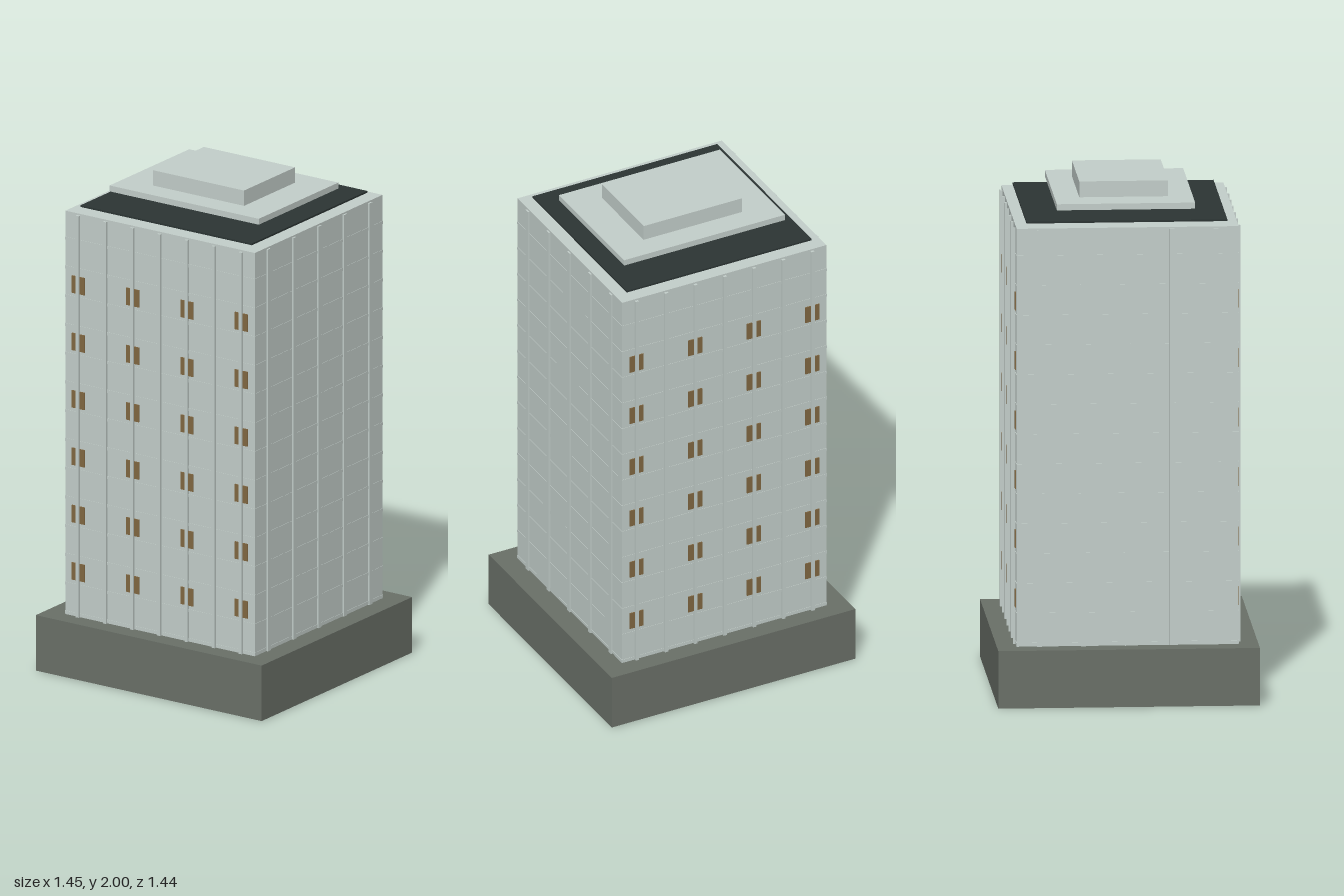
import * as THREE from 'three';

const mat = (name, color) => {
  const m = new THREE.MeshStandardMaterial({ color });
  m.name = name;
  return m;
};

export function createModel() {
  const stone = mat('paleStone', 0xc4cfcb);
  const plinthMat = mat('darkStone', 0x6a7068);
  const roofMat = mat('roofFelt', 0x2c3534);
  const glow = mat('amberWindow', 0x826842);

  const model = new THREE.Group();
  model.name = 'towerBlock';
  const building = new THREE.Group();
  building.name = 'building';
  building.rotation.y = -THREE.MathUtils.degToRad(35.5);
  model.add(building);

  // Box given by its size and its centre
  const box = (name, material, [w, h, d], [x, y, z]) => {
    const mesh = new THREE.Mesh(new THREE.BoxGeometry(w, h, d), material);
    mesh.name = name;
    mesh.position.set(x, y, z);
    building.add(mesh);
  };
  // Box centred on the tower axis between two heights
  const tier = (name, material, w, d, y0, y1) =>
    box(name, material, [w, y1 - y0, d], [0, (y0 + y1) / 2, 0]);

  const W = 0.889, D = 0.855;

  // Main masses; the tower passes down through the plinth
  tier('plinth', plinthMat, 1.06, 1.008, 0.001, 0.226);
  tier('tower', stone, W, D, 0, 1.862);
  tier('roofPanel', roofMat, 0.804, 0.774, 1.874, 1.881);
  tier('roofSlab', stone, 0.7, 0.533, 1.914, 1.938);
  tier('roofHousing', stone, 0.428, 0.342, 1.938, 2.0);

  // Floor bands, almost flush with the walls
  for (let i = 0; i < 14; i++) {
    const y = 0.235 + i * 0.1166;
    tier('floorBand', stone, W + 0.003, D + 0.003, y - 0.006, y + 0.006);
  }

  const finY = (0.226 + 1.855) / 2, finH = 1.855 - 0.226;
  for (const side of [-1, 1]) {
    // Seven fins on each broad wall, windows behind every other one
    for (let i = -3; i <= 3; i++) {
      const x = i * 0.1275;
      box('broadWallFin', stone, [0.014, finH, 0.02], [x, finY, side * D / 2]);
      if (i % 2 === 0) continue;
      for (let k = 0; k < 6; k++) {
        box('window', glow, [0.06, 0.07, 0.008], [x, 0.408 + k * 0.2327, side * D / 2]);
      }
    }
    // Five fins on each narrow wall
    for (let i = -2; i <= 2; i++) {
      box('narrowWallFin', stone, [0.014, finH, 0.02], [side * W / 2, finY, i * 0.17]);
    }
  }
  return model;
}
